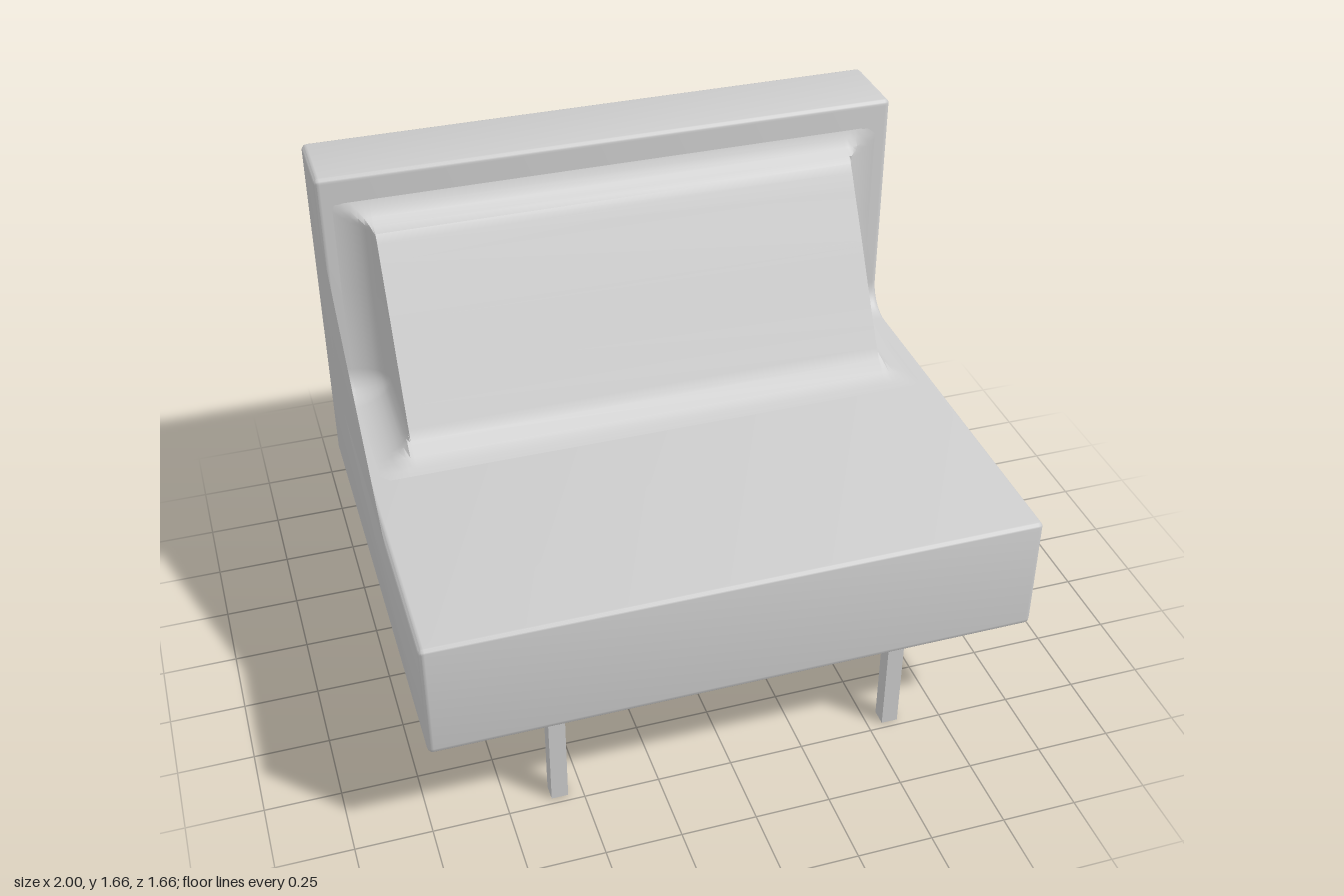
import * as THREE from 'three';
import { toCreasedNormals } from 'three/addons/utils/BufferGeometryUtils.js';

const material = new THREE.MeshStandardMaterial({ color: 0xcccccc });

function addMesh(parent, name, geometry) {
  const mesh = new THREE.Mesh(geometry, material);
  mesh.name = name;
  parent.add(mesh);
  return mesh;
}

// Seat and back in one: an L profile (drawn with -z to the right) extruded across the width
function bodyGeometry() {
  const r = 0.02, front = -0.83, rear = 0.83, bottom = 0.415, seat = 0.83, top = 1.66, face = 0.55;
  const s = new THREE.Shape();
  s.moveTo(front + r, bottom);
  s.lineTo(rear - r, bottom);
  s.quadraticCurveTo(rear, bottom, rear, bottom + r);
  s.lineTo(rear, top - r);
  s.quadraticCurveTo(rear, top, rear - r, top);
  s.lineTo(face + r, top);
  s.quadraticCurveTo(face, top, face, top - r);
  s.lineTo(face, seat + 0.1);
  s.absarc(face - 0.1, seat + 0.1, 0.1, 0, -Math.PI / 2, true);
  s.lineTo(front + r, seat);
  s.quadraticCurveTo(front, seat, front, seat - r);
  s.lineTo(front, bottom + r);
  s.quadraticCurveTo(front, bottom, front + r, bottom);
  const bevel = 0.018;
  const g = new THREE.ExtrudeGeometry(s, {
    depth: 2 - 2 * bevel, bevelEnabled: true, bevelThickness: bevel, bevelSize: bevel,
    bevelOffset: -bevel, bevelSegments: 3, curveSegments: 6,
  });
  g.translate(0, 0, -1 + bevel);
  g.rotateY(Math.PI / 2);
  return toCreasedNormals(g, 0.7);
}

// Sloping back wedge: cross-sections along x whose ends flare into the seat and back
function wedgeGeometry() {
  const seat = 0.828, face = -0.552, flare = 0.1;
  const rays = []; // each: base point on the L, outer point on the slope
  const lower = [[0, 0.828], [-0.04, 0.836], [-0.08, 0.855], [-0.12, 0.89], [-0.14, 0.923], [-0.18, 0.99], [-0.25, 1.11]];
  const upper = [[-0.33, 1.25], [-0.42, 1.4], [-0.45, 1.453], [-0.468, 1.48], [-0.49, 1.497], [-0.52, 1.515], [-0.54, 1.54], [-0.552, 1.57]];
  for (const [z, y] of lower) rays.push({ base: [z, seat], outer: [z, y] });
  for (let k = 0; k <= 6; k++) {
    const a = (k / 6) * Math.PI / 2;
    rays.push({
      base: [face + flare - flare * Math.sin(a), seat + flare - flare * Math.cos(a)],
      outer: [-0.25 - 0.08 * (k + 1) / 8, 1.11 + 0.14 * (k + 1) / 8],
      dir: [Math.sin(a), Math.cos(a)],
    });
  }
  for (const [z, y] of upper) rays.push({ base: [face, y], outer: [z, y] });

  const raised = (ray, h) => {
    const [bz, by] = ray.base;
    const dz = ray.outer[0] - bz, dy = ray.outer[1] - by;
    const length = Math.hypot(dz, dy);
    if (h >= length || length === 0) return ray.outer;
    const [uz, uy] = ray.dir ?? [dz / length, dy / length];
    return [bz + uz * h, by + uy * h];
  };

  // Half of the sections: full slope first, then the flare outwards
  const half = [{ x: 0.83, h: Infinity }];
  for (let k = 0; k <= 8; k++) {
    const a = (k / 8) * Math.PI / 2;
    half.push({ x: 0.98 - 0.15 * Math.cos(a), h: flare * (1 - Math.sin(a)) });
  }
  const sections = [...half.map(({ x, h }) => ({ x: -x, h })).reverse(), ...half];

  const positions = [], index = [], n = rays.length;
  for (const { x, h } of sections) {
    for (const ray of rays) {
      const [z, y] = raised(ray, h);
      positions.push(x, y, z);
    }
  }
  for (let s = 0; s < sections.length - 1; s++) {
    for (let i = 0; i < n - 1; i++) {
      const a = s * n + i, b = a + n;
      index.push(a, b, a + 1, b, b + 1, a + 1);
    }
  }
  const g = new THREE.BufferGeometry();
  g.setAttribute('position', new THREE.Float32BufferAttribute(positions, 3));
  g.setIndex(index);
  return toCreasedNormals(g, 0.7);
}

// Leg frame: an upside-down U of square bar
function legFrameGeometry() {
  const w = 0.605, t = 0.055, h = 0.42;
  const s = new THREE.Shape([
    [-w, 0], [-w + t, 0], [-w + t, h - t], [w - t, h - t], [w - t, 0], [w, 0], [w, h], [-w, h],
  ].map(([x, y]) => new THREE.Vector2(x, y)));
  return new THREE.ExtrudeGeometry(s, { depth: t, bevelEnabled: false }).translate(0, 0, -t / 2);
}

export function createModel() {
  const group = new THREE.Group();
  group.name = 'armlessSofa';
  addMesh(group, 'seatAndBack', bodyGeometry());
  addMesh(group, 'backCushion', wedgeGeometry());
  const frame = legFrameGeometry();
  addMesh(group, 'frontLegFrame', frame).position.z = 0.7;
  addMesh(group, 'rearLegFrame', frame).position.z = -0.64;
  return group;
}
